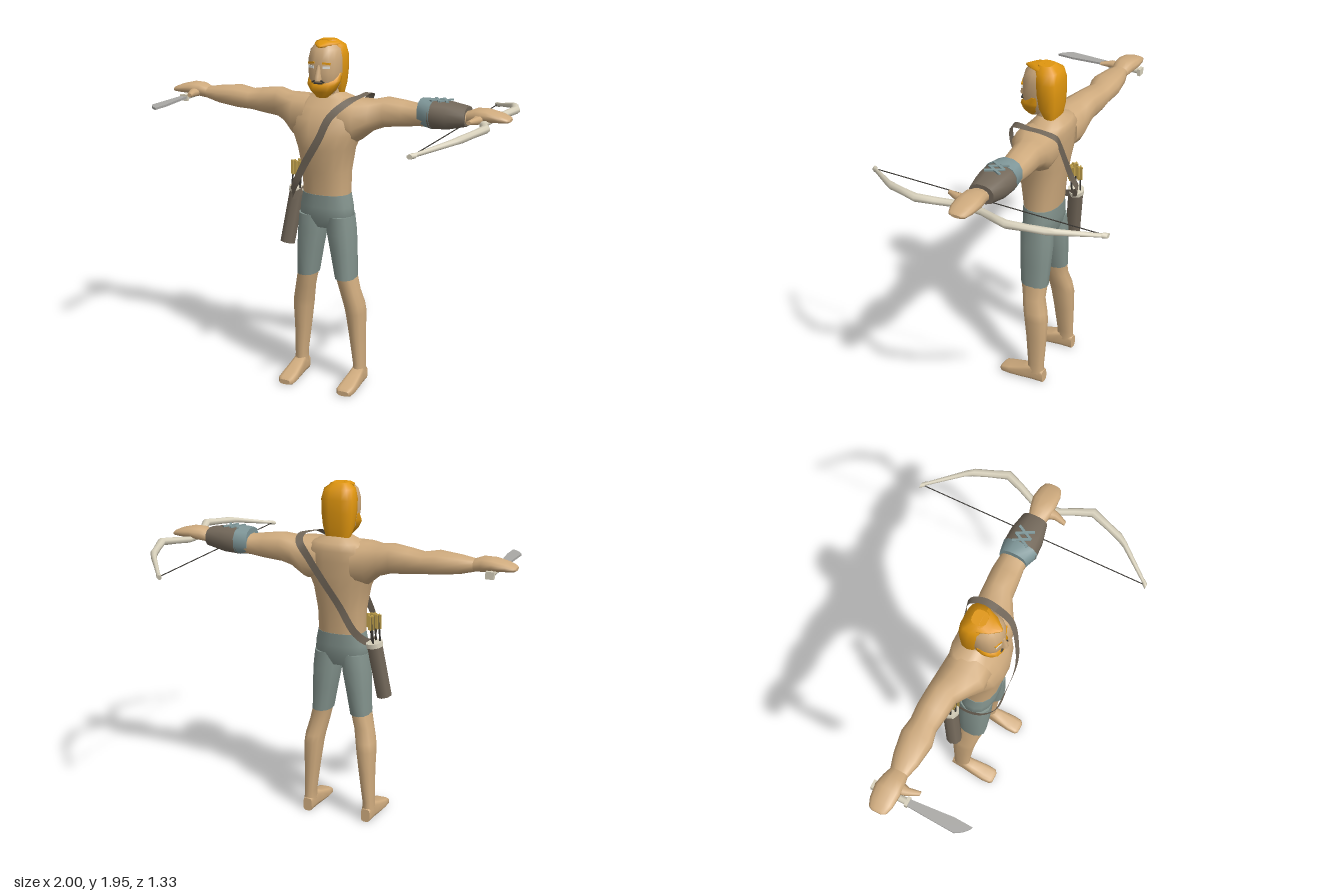
import * as THREE from 'three';

const mat = (name, color, double) => {
  const m = new THREE.MeshStandardMaterial({ color });
  m.name = name;
  if (double) m.side = THREE.DoubleSide;
  return m;
};

// Skin through rounded cross-sections along an axis.
// Ring: [a, uMin, uMax, vMin, vMax]; (u, v) is (y, z) for x, (z, x) for y, (x, y) for z.
function loft(axis, rings, n = 12, p = 2.3) {
  const pos = [], idx = [];
  const put = (a, u, v) => pos.push(...(axis === 'x' ? [a, u, v] : axis === 'y' ? [v, a, u] : [u, v, a]));
  const bend = c => Math.sign(c) * Math.abs(c) ** (2 / p);
  const ring = ([a, u0, u1, v0, v1]) => {
    for (let j = 0; j < n; j++) {
      const t = ((j + 0.5) / n) * Math.PI * 2;
      put(a, (u0 + u1) / 2 + bend(Math.cos(t)) * (u1 - u0) / 2, (v0 + v1) / 2 + bend(Math.sin(t)) * (v1 - v0) / 2);
    }
  };
  rings.forEach(ring);
  for (let i = 0; i < rings.length - 1; i++) for (let j = 0; j < n; j++) {
    const a = i * n + j, b = i * n + (j + 1) % n;
    idx.push(a, b, b + n, a, b + n, a + n);
  }
  for (const end of [0, 1]) {
    const r = rings[end ? rings.length - 1 : 0], s = pos.length / 3;
    ring(r);
    put(r[0], (r[1] + r[2]) / 2, (r[3] + r[4]) / 2);
    for (let j = 0; j < n; j++) {
      const k = s + (j + 1) % n;
      idx.push(s + n, end ? s + j : k, end ? k : s + j);
    }
  }
  const g = new THREE.BufferGeometry();
  g.setAttribute('position', new THREE.Float32BufferAttribute(pos, 3));
  g.setIndex(idx);
  g.computeVertexNormals();
  return g;
}

// Mirror across x = 0, keeping faces outward
function mirror(g) {
  const m = g.clone(), ix = m.index.array;
  m.scale(-1, 1, 1);
  for (let i = 0; i < ix.length; i += 3) [ix[i], ix[i + 1]] = [ix[i + 1], ix[i]];
  m.computeVertexNormals();
  return m;
}

// Tapered rod from p to q
function rod(p, q, r0, r1 = r0, n = 8) {
  const a = new THREE.Vector3(...p), b = new THREE.Vector3(...q), d = b.clone().sub(a);
  const g = new THREE.CylinderGeometry(r1, r0, d.length(), n);
  g.applyQuaternion(new THREE.Quaternion().setFromUnitVectors(new THREE.Vector3(0, 1, 0), d.normalize()));
  return g.translate(...a.add(b).multiplyScalar(0.5).toArray());
}

// Flat band following [x, y, z, nx, ny, nz] points in a closed loop
function band(pts, width, steps) {
  const path = new THREE.CatmullRomCurve3(pts.map(p => new THREE.Vector3(p[0], p[1], p[2])), true);
  const normals = new THREE.CatmullRomCurve3(pts.map(p => new THREE.Vector3(p[3], p[4], p[5])), true);
  const pos = [], idx = [];
  for (let i = 0; i <= steps; i++) {
    const t = (i % steps) / steps, c = path.getPoint(t);
    const w = path.getTangent(t).cross(normals.getPoint(t)).setLength(width / 2);
    pos.push(...c.clone().add(w).toArray(), ...c.sub(w).toArray());
    if (i < steps) idx.push(2 * i, 2 * i + 2, 2 * i + 1, 2 * i + 1, 2 * i + 2, 2 * i + 3);
  }
  const g = new THREE.BufferGeometry();
  g.setAttribute('position', new THREE.Float32BufferAttribute(pos, 3));
  g.setIndex(idx);
  g.computeVertexNormals();
  return g;
}

export function createModel() {
  const model = new THREE.Group();
  const skin = mat('skin', 0xcfab7e), cloth = mat('shorts cloth', 0x83938d), hair = mat('hair', 0xe0960f);
  const leather = mat('leather', 0x73685a, true), lace = mat('cuff cloth', 0x7f9799), wood = mat('pale wood', 0xd8d1bc);
  const steel = mat('steel', 0xa9a8a5), dark = mat('dark cord', 0x3c3934), white = mat('eye white', 0xe6e6e0);
  const feather = mat('feather', 0xc2a24c);
  const add = (name, g, m) => {
    const mesh = new THREE.Mesh(g, m);
    mesh.name = name;
    model.add(mesh);
    return mesh;
  };
  const pair = (name, g, m) => { add(name + 'Left', g, m); add(name + 'Right', mirror(g), m); };
  const box = (name, m, w, h, d, x, y, z) => {
    const b = add(name, new THREE.BoxGeometry(w, h, d), m);
    b.position.set(x, y, z);
    return b;
  };

  // Torso and neck
  const bodyRing = ([y, rx, zb, zf]) => [y, zb, zf, -rx, rx];
  add('torso', loft('y', [
    [1.12, 0.135, -0.03, 0.17], [1.25, 0.138, -0.045, 0.185], [1.38, 0.16, -0.065, 0.21], [1.46, 0.195, -0.075, 0.21],
    [1.54, 0.215, -0.08, 0.19], [1.6, 0.2, -0.085, 0.15], [1.64, 0.14, -0.075, 0.11], [1.67, 0.065, -0.03, 0.09],
  ].map(bodyRing), 16), skin);
  add('neck', loft('y', [[1.6, 0.07, -0.03, 0.11], [1.67, 0.058, -0.01, 0.1], [1.74, 0.055, -0.005, 0.1]].map(bodyRing)), skin);

  // Arms, hands and thumbs
  pair('arm', loft('x', [
    [0.1, 1.42, 1.65, -0.08, 0.17], [0.18, 1.415, 1.65, -0.085, 0.165], [0.25, 1.475, 1.645, -0.085, 0.12],
    [0.32, 1.5, 1.66, -0.085, 0.08], [0.42, 1.51, 1.648, -0.09, 0.07], [0.5, 1.52, 1.635, -0.085, 0.06],
    [0.58, 1.525, 1.65, -0.095, 0.08], [0.7, 1.54, 1.638, -0.075, 0.065], [0.78, 1.56, 1.625, -0.05, 0.045],
  ]), skin);
  pair('hand', loft('x', [
    [0.77, 1.56, 1.625, -0.05, 0.045], [0.82, 1.565, 1.645, -0.065, 0.055], [0.88, 1.575, 1.645, -0.078, 0.06],
    [0.95, 1.58, 1.628, -0.07, 0.055], [0.99, 1.583, 1.612, -0.055, 0.04], [1.0, 1.588, 1.604, -0.035, 0.02],
  ]), skin);
  pair('thumb', loft('z', [[0.02, 0.8, 0.88, 1.57, 1.62], [0.08, 0.82, 0.865, 1.575, 1.615], [0.14, 0.81, 0.835, 1.585, 1.605]], 8), skin);

  // Shorts
  add('shortsSeat', loft('y', [[0.93, 0.12, 0, 0.14], [0.99, 0.157, -0.024, 0.168], [1.05, 0.152, -0.03, 0.17], [1.122, 0.137, -0.032, 0.172]].map(bodyRing), 16), cloth);
  pair('shortsLeg', loft('y', [
    [0.64, -0.012, 0.152, 0.06, 0.174], [0.78, -0.02, 0.16, 0.034, 0.172], [0.9, -0.026, 0.165, 0.01, 0.168], [1.0, -0.02, 0.165, 0.0, 0.158],
  ]), cloth);

  // Lower legs and feet
  pair('lowerLeg', loft('y', [
    [0.06, -0.02, 0.085, 0.148, 0.218], [0.12, -0.018, 0.08, 0.15, 0.215], [0.3, -0.028, 0.095, 0.126, 0.214],
    [0.43, -0.032, 0.11, 0.108, 0.217], [0.48, -0.025, 0.118, 0.1, 0.212], [0.56, -0.003, 0.13, 0.083, 0.193], [0.65, -0.008, 0.148, 0.064, 0.172],
  ]), skin);
  pair('foot', loft('z', [
    [-0.022, 0.155, 0.21, 0, 0.08], [0.05, 0.147, 0.218, 0, 0.11], [0.11, 0.14, 0.225, 0, 0.085],
    [0.19, 0.132, 0.232, 0, 0.058], [0.24, 0.134, 0.229, 0, 0.045], [0.255, 0.15, 0.215, 0.004, 0.032],
  ], 12, 3.5), skin);

  // Head, hair and beard
  add('head', loft('y', [
    [1.67, 0.045, 0.02, 0.14], [1.72, 0.075, 0, 0.175], [1.79, 0.088, -0.01, 0.183],
    [1.86, 0.09, -0.02, 0.18], [1.91, 0.08, -0.02, 0.165], [1.937, 0.055, 0, 0.14],
  ].map(bodyRing), 16), skin);
  add('hairCap', loft('y', [
    [1.665, 0.07, -0.025, 0.045], [1.72, 0.086, -0.036, 0.075], [1.8, 0.095, -0.042, 0.09],
    [1.87, 0.096, -0.042, 0.095], [1.925, 0.082, -0.03, 0.095], [1.955, 0.042, 0.01, 0.088],
  ].map(bodyRing), 14, 3), hair);
  add('hairPeak', loft('z', [[0.06, -0.075, 0.075, 1.9, 1.957], [0.12, -0.052, 0.052, 1.915, 1.95], [0.17, -0.006, 0.006, 1.922, 1.932]], 8), hair);
  add('beard', loft('y', [
    [1.655, 0.03, 0.1, 0.155], [1.69, 0.066, 0.06, 0.182], [1.725, 0.085, 0.04, 0.192], [1.745, 0.091, 0.04, 0.165], [1.785, 0.092, 0.05, 0.115],
  ].map(bodyRing), 14), hair);
  add('nose', loft('y', [[1.755, 0.02, 0.15, 0.207], [1.775, 0.018, 0.15, 0.205], [1.835, 0.01, 0.15, 0.186]].map(bodyRing), 8), skin);
  box('mouth', dark, 0.05, 0.008, 0.008, 0, 1.738, 0.184);
  for (const s of [-1, 1]) {
    box('eye', white, 0.038, 0.014, 0.008, s * 0.043, 1.822, 0.17).rotation.y = s * 0.35;
    box('eyebrow', hair, 0.045, 0.01, 0.008, s * 0.043, 1.843, 0.171).rotation.set(0, s * 0.35, -s * 0.1);
    box('moustache', dark, 0.03, 0.007, 0.008, s * 0.022, 1.75, 0.184).rotation.z = -s * 0.5;
  }

  // Arm guard with lacing
  add('guardCuff', loft('x', [[0.51, 1.525, 1.67, -0.092, 0.065], [0.585, 1.515, 1.672, -0.104, 0.092]]), lace);
  add('armGuard', loft('x', [[0.575, 1.515, 1.668, -0.102, 0.09], [0.67, 1.52, 1.665, -0.1, 0.085], [0.77, 1.543, 1.648, -0.08, 0.062]]), leather);
  for (const x of [0.6, 0.645]) for (const s of [-1, 1])
    box('guardLace', lace, 0.014, 0.008, 0.1, x, 1.668, -0.01).rotation.y = s * 0.5;

  // Shoulder strap
  add('strap', band([
    [0.195, 1.665, 0.05, 0, 1, 0.2], [0.165, 1.65, 0.15, 0.1, 0.7, 0.7], [0.085, 1.57, 0.222, 0, 0.2, 1], [0.03, 1.45, 0.245, 0, 0, 1],
    [-0.06, 1.3, 0.236, 0, 0, 1], [-0.14, 1.15, 0.21, -0.4, 0, 1], [-0.182, 1.085, 0.12, -1, 0, 0.3], [-0.182, 1.09, 0.0, -1, 0, -0.3],
    [-0.13, 1.16, -0.07, -0.3, 0, -1], [-0.04, 1.3, -0.073, 0, 0, -1], [0.06, 1.45, -0.09, 0, 0, -1],
    [0.13, 1.56, -0.1, 0, 0.1, -1], [0.18, 1.64, -0.1, 0, 0.7, -0.7], [0.2, 1.668, -0.03, 0, 1, -0.2],
  ], 0.042, 64), leather);

  // Quiver and arrows
  add('quiver', rod([-0.27, 0.78, 0.03], [-0.225, 1.085, -0.01], 0.044, 0.045), leather);
  add('quiverRim', rod([-0.227, 1.075, -0.009], [-0.223, 1.1, -0.011], 0.049), wood);
  for (const [dx, dz] of [[-0.025, 0.015], [0.025, 0.015], [0, -0.025], [0.005, 0.03]]) {
    const x = -0.215 + dx, z = -0.012 + dz;
    add('arrowShaft', rod([x - 0.015, 1.07, z], [x, 1.25, z], 0.005, 0.005, 6), dark);
    box('arrowFeather', feather, 0.036, 0.08, 0.006, x, 1.215, z);
    box('arrowFeather', feather, 0.006, 0.08, 0.036, x, 1.215, z);
  }

  // Bow, tilted so its limbs rise away from the string
  const half = [[0, 0.875, 0.018], [0.08, 0.88, 0.018], [0.16, 0.915, 0.019], [0.25, 0.948, 0.021], [0.35, 0.915, 0.018],
    [0.43, 0.888, 0.019], [0.47, 0.865, 0.016], [0.64, 0.735, 0.01], [0.645, 0.73, 0.014], [0.665, 0.715, 0.013]];
  const limbs = [...half.slice(1).reverse().map(([z, x, r]) => [-z, x, r]), ...half];
  const bowY = x => 1.53 + (x - 0.72) * 0.3;
  add('bow', loft('z', limbs.map(([z, x, r]) => [z, x - r * 1.2, x + r * 1.2, bowY(x) - r, bowY(x) + r]), 8, 2), wood);
  add('bowString', rod([0.72, 1.53, -0.65], [0.72, 1.53, 0.65], 0.003, 0.003, 5), dark);

  // Knife
  add('knifeHandle', rod([-0.88, 1.572, -0.085], [-0.882, 1.572, 0.1], 0.018), wood);
  box('knifePommel', wood, 0.045, 0.04, 0.02, -0.88, 1.57, -0.085);
  box('knifeGuard', wood, 0.05, 0.035, 0.016, -0.882, 1.57, 0.1);
  const blade = new THREE.Shape();
  blade.moveTo(-0.902, 0.1);
  blade.lineTo(-0.865, 0.1);
  blade.quadraticCurveTo(-0.855, 0.25, -0.848, 0.34);
  blade.lineTo(-0.853, 0.44);
  blade.quadraticCurveTo(-0.89, 0.425, -0.918, 0.37);
  blade.quadraticCurveTo(-0.912, 0.25, -0.902, 0.1);
  const bladeGeo = new THREE.ExtrudeGeometry(blade, { depth: 0.012, bevelEnabled: false, curveSegments: 6 });
  add('knifeBlade', bladeGeo.rotateX(Math.PI / 2).translate(0, 1.578, 0), steel);

  return model;
}
